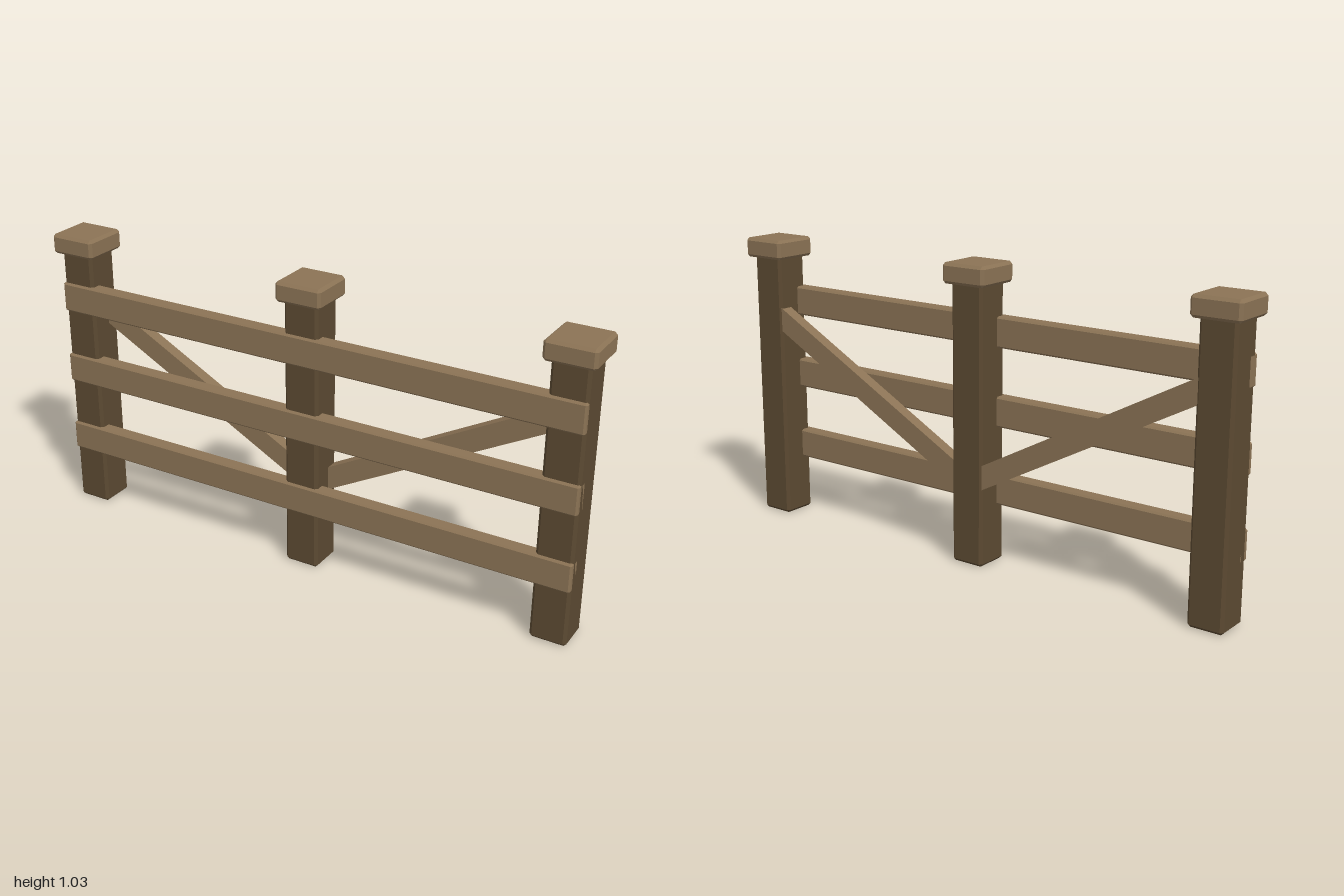
import * as THREE from 'three';
import { ConvexGeometry } from 'three/addons/geometries/ConvexGeometry.js';

const darkWood = new THREE.MeshStandardMaterial({ color: 0x5c4a32 });
darkWood.name = 'dark post wood';
const lightWood = new THREE.MeshStandardMaterial({ color: 0x8b7355 });
lightWood.name = 'light rail wood';

// Box with all twelve edges chamfered by c
function chamferBox(w, h, d, c) {
  const [x, y, z] = [w / 2, h / 2, d / 2];
  const points = [];
  for (const sx of [-1, 1]) for (const sy of [-1, 1]) for (const sz of [-1, 1]) {
    points.push(
      new THREE.Vector3(sx * x, sy * (y - c), sz * (z - c)),
      new THREE.Vector3(sx * (x - c), sy * y, sz * (z - c)),
      new THREE.Vector3(sx * (x - c), sy * (y - c), sz * z),
    );
  }
  return new ConvexGeometry(points);
}

export function createModel() {
  const fence = new THREE.Group();
  fence.name = 'fence';

  const add = (name, geometry, material, x, y, z) => {
    const mesh = new THREE.Mesh(geometry, material);
    mesh.name = name;
    mesh.position.set(x, y, z);
    fence.add(mesh);
    return mesh;
  };

  // Posts with square caps
  const postGeometry = chamferBox(0.126, 0.975, 0.126, 0.01);
  const capGeometry = chamferBox(0.17, 0.07, 0.17, 0.01);
  [['right', -0.915], ['middle', 0], ['left', 0.915]].forEach(([side, x]) => {
    add(`${side}Post`, postGeometry, darkWood, x, 0.4875, 0);
    add(`${side}PostCap`, capGeometry, lightWood, x, 1.0, 0);
  });

  // Horizontal rails across the front of the posts
  const railGeometry = chamferBox(1.956, 0.105, 0.05, 0.006);
  [['lower', 0.258], ['middle', 0.531], ['upper', 0.803]].forEach(([level, y]) => {
    add(`${level}Rail`, railGeometry, lightWood, 0, y, 0.047);
  });

  // Diagonal braces rising from the middle post to the outer posts
  const slope = Math.atan(0.534);
  const braceGeometry = new THREE.BoxGeometry(1.0, 0.075, 0.044);
  [['right', -1], ['left', 1]].forEach(([side, s]) => {
    const brace = add(`${side}Brace`, braceGeometry, lightWood, s * 0.4575, 0.531, -0.035);
    brace.rotation.z = s * slope;
  });

  return fence;
}
